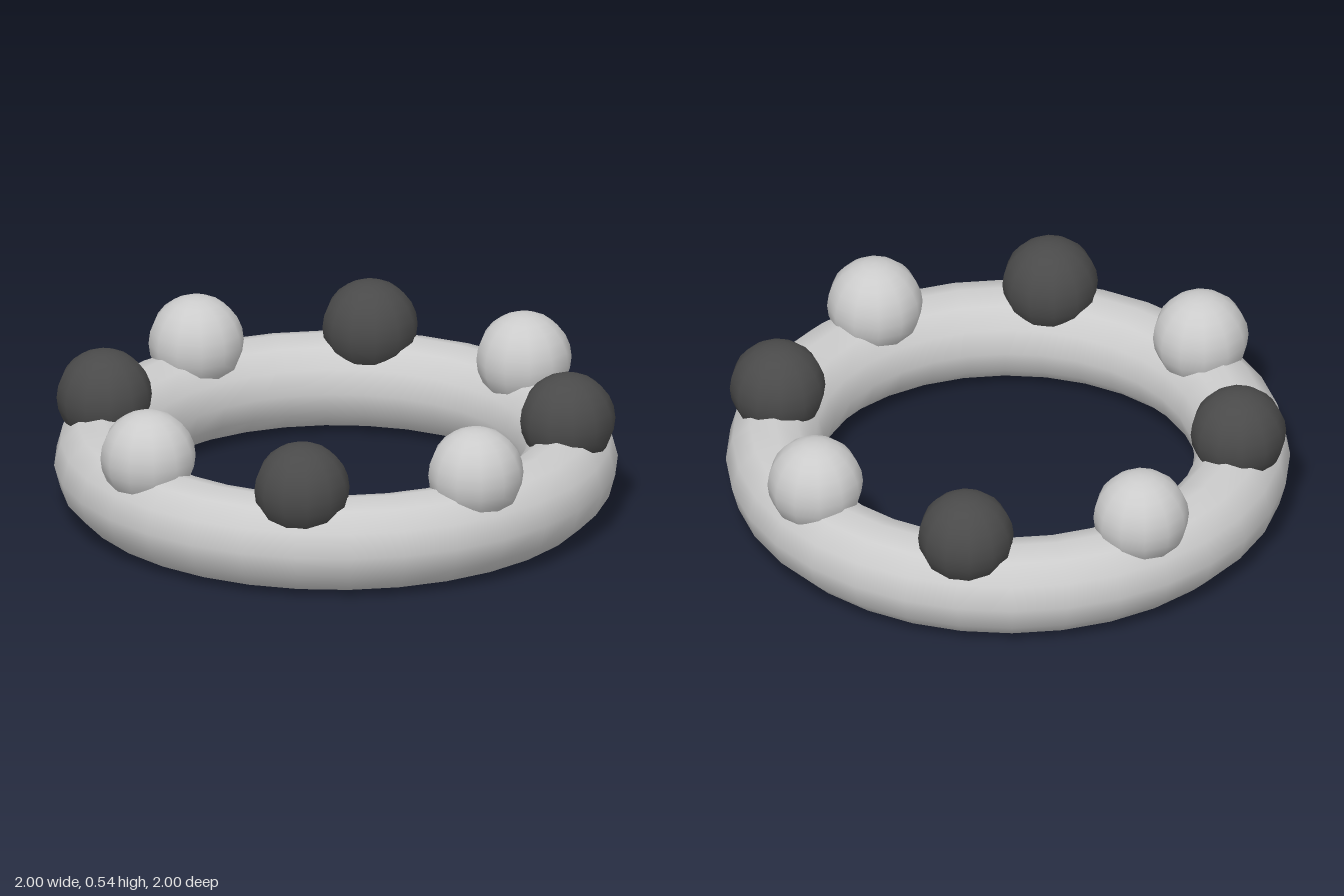
import * as THREE from 'three';

export function createModel() {
  const model = new THREE.Group();
  const light = new THREE.MeshStandardMaterial({ color: 0xcccccc });
  const dark = new THREE.MeshStandardMaterial({ color: 0x4a4a4a });
  const R = 0.83, r = 0.17, beadY = 0.37;

  // Ring lying flat on the ground
  const ringGeometry = new THREE.TorusGeometry(R, r, 12, 32).rotateX(-Math.PI / 2);
  const ring = new THREE.Mesh(ringGeometry, light);
  ring.name = 'ring';
  ring.position.y = r;
  model.add(ring);

  // Eight beads half sunk into the ring, alternating light and dark
  const beadGeometry = new THREE.SphereGeometry(r, 12, 12);
  for (let i = 0; i < 8; i++) {
    const a = (i * Math.PI) / 4;
    const bead = new THREE.Mesh(beadGeometry, i % 2 ? dark : light);
    bead.name = i % 2 ? 'darkBead' : 'lightBead';
    bead.position.set(R * Math.cos(a), beadY, R * Math.sin(a));
    model.add(bead);
  }
  return model;
}
